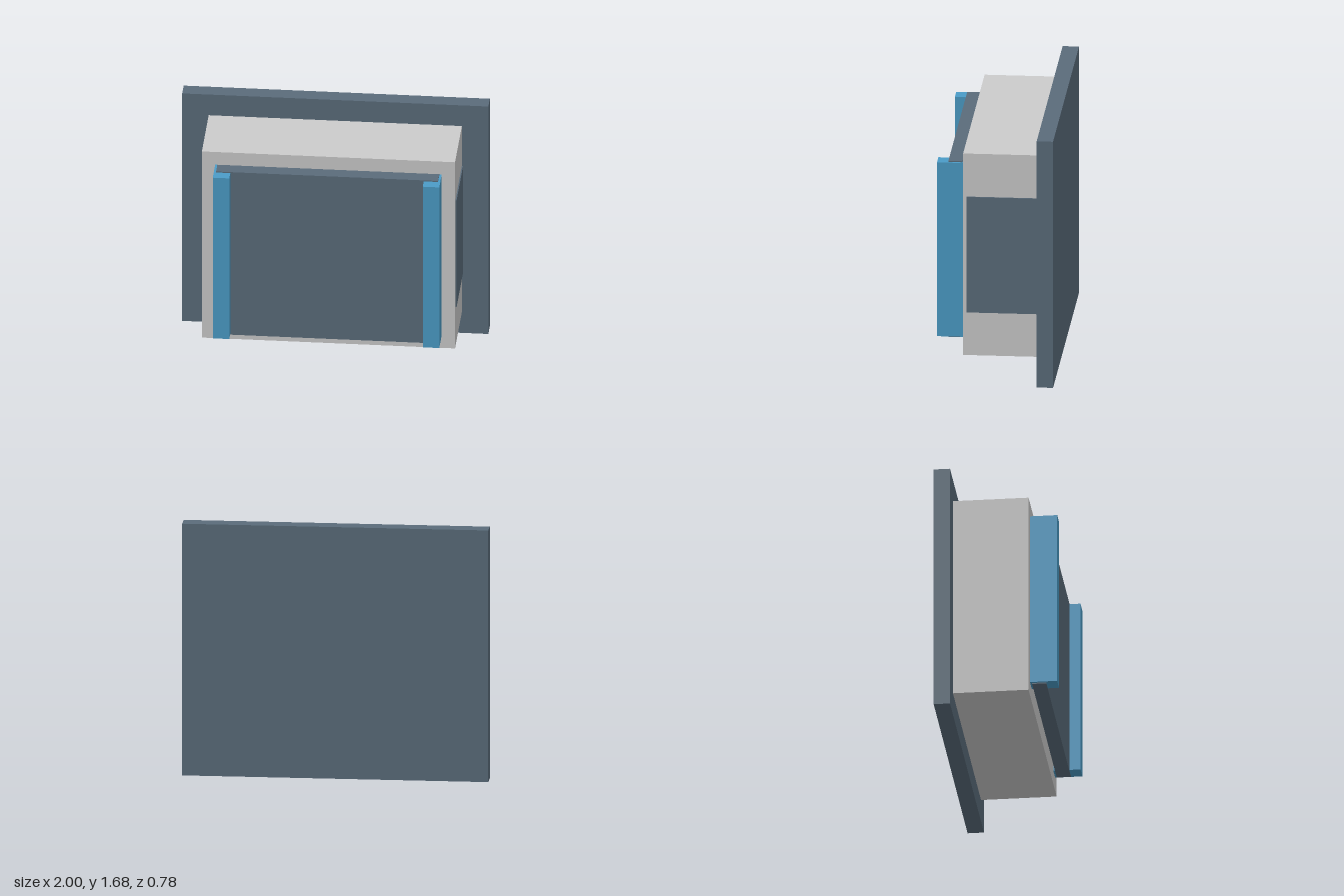
import * as THREE from 'three';

const grey = new THREE.MeshStandardMaterial({ color: 0xcccccc });
const slate = new THREE.MeshStandardMaterial({ color: 0x5a6c7b });
const blue = new THREE.MeshStandardMaterial({ color: 0x4b9cc7 });

// Box given by its minimum and maximum on each axis
function box(name, material, [x0, x1], [y0, y1], [z0, z1]) {
  const mesh = new THREE.Mesh(new THREE.BoxGeometry(x1 - x0, y1 - y0, z1 - z0), material);
  mesh.position.set((x0 + x1) / 2, (y0 + y1) / 2, (z0 + z1) / 2);
  mesh.name = name;
  return mesh;
}

export function createModel() {
  const model = new THREE.Group();
  model.name = 'wallCabinet';

  // Mounting plate and main housing
  model.add(box('backPlate', slate, [-1, 1], [0, 1.685], [-0.39, -0.283]));
  model.add(box('housing', grey, [-0.827, 0.827], [0.153, 1.532], [-0.283, 0.212]));

  // Front panel, held just clear of the housing by the rails
  model.add(box('frontPanel', slate, [-0.725, 0.725], [0.241, 1.445], [0.224, 0.317]));

  // Upright rails on both sides
  for (const [name, x] of [['leftRail', 0.686], ['rightRail', -0.686]]) {
    model.add(box(name, blue, [x - 0.054, x + 0.054], [0.248, 1.438], [0.212, 0.39]));
  }

  // Thin plate on one side only
  model.add(box('sidePlate', slate, [0.82, 0.835], [0.447, 1.238], [-0.283, 0.19]));

  return model;
}
